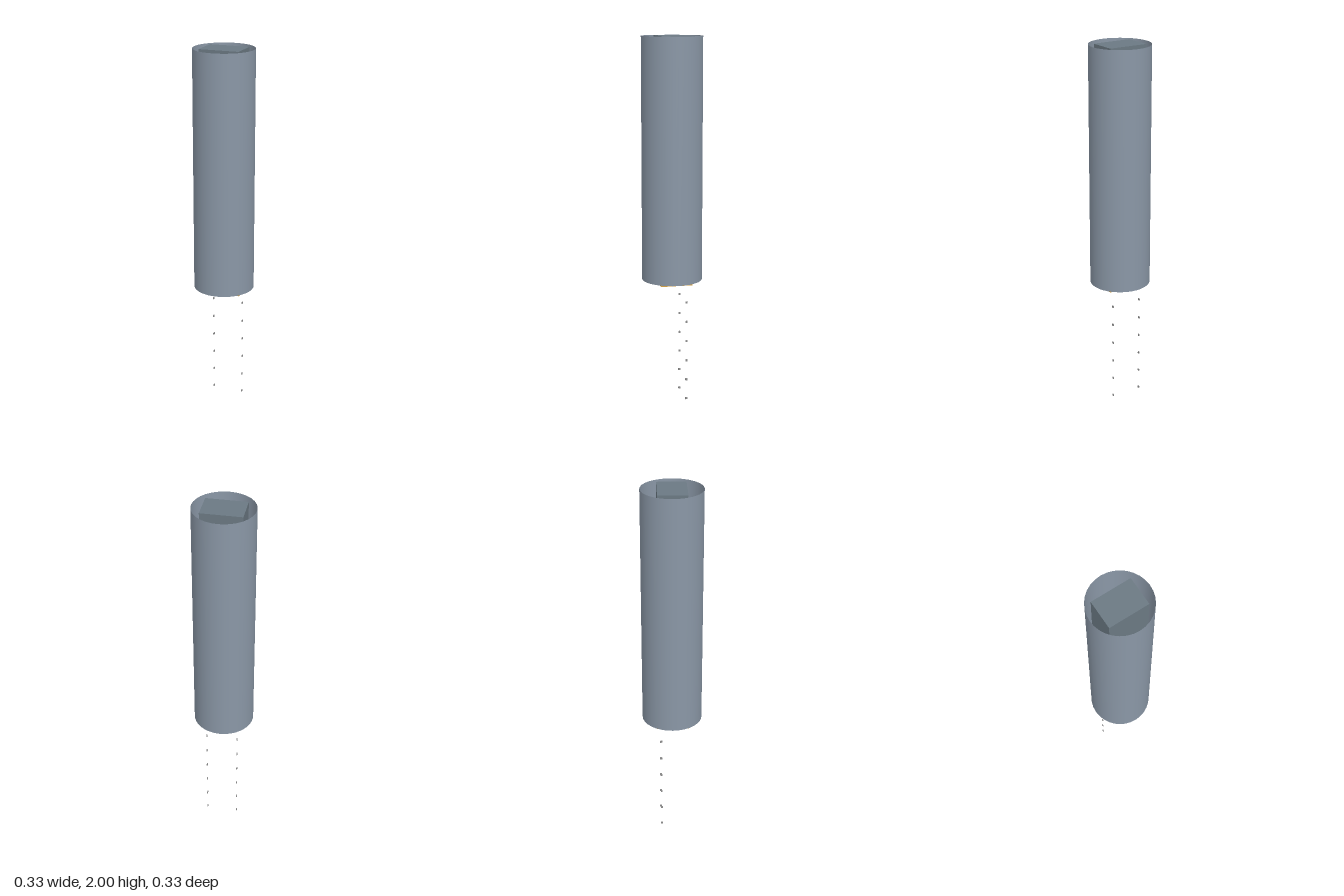
import * as THREE from 'three';

export function createModel() {
  const root = new THREE.Group();
  const mat = (color, side = THREE.FrontSide) => new THREE.MeshStandardMaterial({ color, side });
  const casingMat = mat(0x8a97a6, THREE.DoubleSide);
  const shaftMat = mat(0x6b7983, THREE.DoubleSide);
  const frameMat = mat(0xd9a441);
  const rungMat = mat(0x8f8f8f);

  const add = (name, geometry, material, x, y, z, parent = root) => {
    const mesh = new THREE.Mesh(geometry, material);
    mesh.name = name;
    mesh.position.set(x, y, z);
    parent.add(mesh);
    return mesh;
  };

  const top = 2, bottom = 0.677, height = top - bottom, midY = (top + bottom) / 2;

  // Thin round casing, open at both ends
  add('casing', new THREE.CylinderGeometry(0.165, 0.165, height, 32, 1, true), casingMat, 0, midY, 0);

  // Rectangular shaft inside: four thin walls and a closed top
  const w = 0.11, d = 0.078;
  const shaft = new THREE.Group();
  shaft.name = 'shaft';
  root.add(shaft);
  for (const s of [1, -1]) {
    const wide = add('shaftWideWall', new THREE.PlaneGeometry(2 * w, height), shaftMat, 0, midY, s * d, shaft);
    const narrow = add('shaftNarrowWall', new THREE.PlaneGeometry(2 * d, height), shaftMat, s * w, midY, 0, shaft);
    if (s < 0) wide.rotation.y = Math.PI;
    narrow.rotation.y = s * Math.PI / 2;
  }
  add('shaftTop', new THREE.PlaneGeometry(2 * w, 2 * d), shaftMat, 0, top, 0, shaft).rotation.x = -Math.PI / 2;

  // Rectangular rim around the lower opening
  const rect = (Type, x, z) => new Type([
    new THREE.Vector2(-x, -z), new THREE.Vector2(x, -z), new THREE.Vector2(x, z), new THREE.Vector2(-x, z),
  ]);
  const outline = rect(THREE.Shape, 0.122, 0.088);
  outline.holes.push(rect(THREE.Path, 0.098, 0.066));
  const rim = new THREE.ExtrudeGeometry(outline, { depth: 0.024, bevelEnabled: false });
  rim.rotateX(-Math.PI / 2);
  add('openingRim', rim, frameMat, 0, 0.665, 0);

  // Two columns of tiny pegs, rising from the base up through the shaft
  const pegs = new THREE.Group();
  pegs.name = 'pegs';
  root.add(pegs);
  const pegGeometry = new THREE.BoxGeometry(0.005, 0.011, 0.011);
  for (let i = 0; i < 18; i++) {
    for (const s of [1, -1]) {
      add('peg', pegGeometry, rungMat, s * 0.087, 0.0055 + i * 0.111, -0.062, pegs);
    }
  }
  return root;
}
